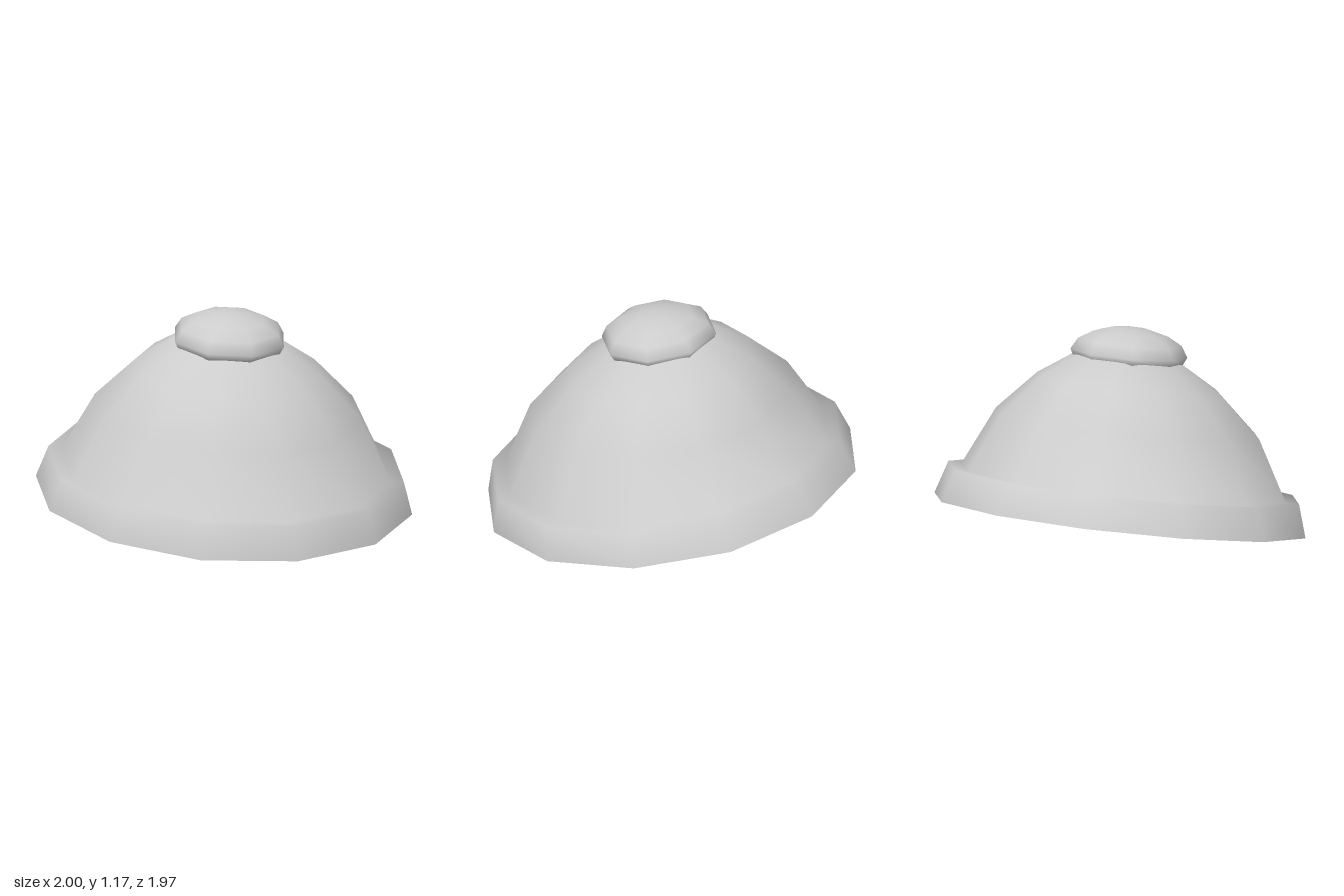
import * as THREE from 'three';
import { mergeVertices } from 'three/addons/utils/BufferGeometryUtils.js';

const TILT = 0.162; // forward tilt of the base rings

// Smooth-shaded turned shape, with vertices moved by a rule before normals are found
function turned(profile, sides, rule) {
  let geo = new THREE.LatheGeometry(profile.map(([r, y]) => new THREE.Vector2(r, y)), sides);
  geo.deleteAttribute('normal');
  geo.deleteAttribute('uv');
  const p = geo.attributes.position;
  if (rule) {
    for (let i = 0; i < p.count; i++) p.setXYZ(i, ...rule(p.getX(i), p.getY(i), p.getZ(i)));
  }
  geo = mergeVertices(geo, 1e-4);
  geo.computeVertexNormals();
  return geo;
}

// Tilts every ring and bends the centre line slightly forward
const lean = (x, y, z) => [
  x,
  y + 0.162 - z * Math.sin(TILT),
  z * Math.cos(TILT) + 0.2 * y - 0.15 * y * y,
];

export function createModel() {
  const model = new THREE.Group();
  const grey = new THREE.MeshStandardMaterial({ color: 0xcccccc });
  grey.name = 'light grey';

  const add = (name, geo) => {
    const mesh = new THREE.Mesh(geo, grey);
    mesh.name = name;
    model.add(mesh);
    return mesh;
  };

  // Flared rim, narrow ledge and dome
  add('domeAndRim', turned([
    [1, 0], [0.945, 0.172], [0.875, 0.168], [0.71, 0.485],
    [0.49, 0.703], [0.29, 0.833], [0, 0.87],
  ], 12, lean));

  // Flat underside
  add('underside', turned([[0, 0], [1, 0]], 12, lean));

  // Flattened eight-sided knob on top
  const knob = add('knob', turned([
    [0, -0.14], [0.2, -0.085], [0.29, -0.035], [0.31, 0.005],
    [0.275, 0.065], [0.2, 0.108], [0.1, 0.136], [0, 0.145],
  ], 8));
  knob.position.set(0, 1.02, 0.07);
  knob.rotation.x = 0.135;

  return model;
}
